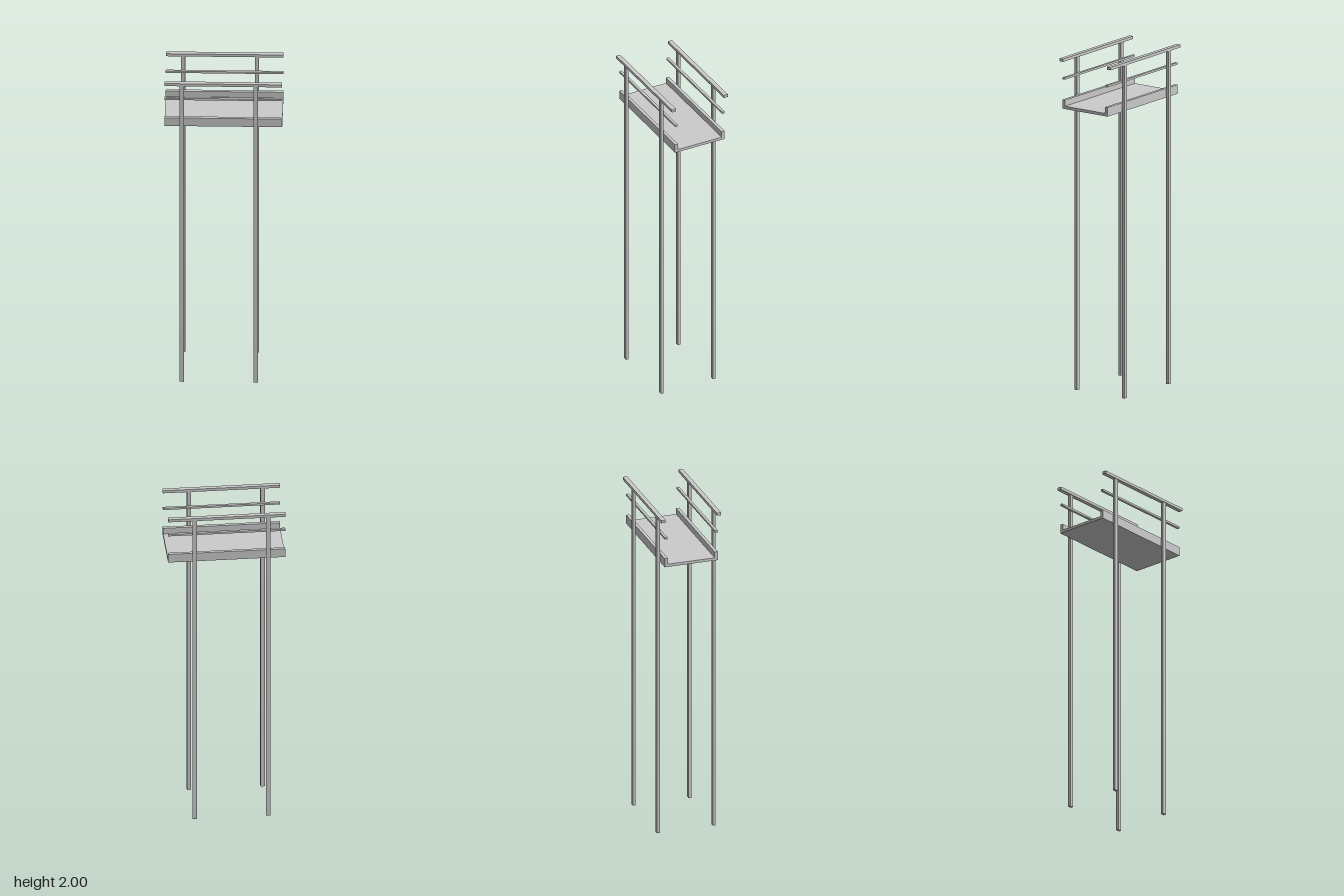
import * as THREE from 'three';

export function createModel() {
  const model = new THREE.Group();
  model.name = 'raisedWalkway';
  const material = new THREE.MeshStandardMaterial({ color: 0xcccccc, flatShading: true });

  // Box given by its lower and upper limits on each axis
  const addBox = (name, [x0, x1], [y0, y1], [z0, z1]) => {
    const mesh = new THREE.Mesh(new THREE.BoxGeometry(x1 - x0, y1 - y0, z1 - z0), material);
    mesh.position.set((x0 + x1) / 2, (y0 + y1) / 2, (z0 + z1) / 2);
    mesh.name = name;
    model.add(mesh);
  };

  const span = [-0.34, 0.34];
  const postWidth = 0.025;

  // Walking surface
  addBox('deck', span, [1.704, 1.721], [-0.162, 0.162]);

  for (const [side, s] of [['front', 1], ['back', -1]]) {
    const depth = (inner, outer) => (s > 0 ? [inner, outer] : [-outer, -inner]);

    // Rails and kick plate along each long side
    addBox(side + 'Handrail', span, [1.983, 2], depth(0.157, 0.183));
    addBox(side + 'MidRail', span, [1.878, 1.89], depth(0.146, 0.162));
    addBox(side + 'ToeBoard', span, [1.721, 1.758], depth(0.143, 0.162));

    // Two tall posts carrying the deck and handrail
    for (const [end, x] of [['Right', -0.24], ['Left', 0.187]]) {
      addBox(side + end + 'Post', [x - postWidth / 2, x + postWidth / 2], [0, 1.983], depth(0.162, 0.179));
    }
  }
  return model;
}
